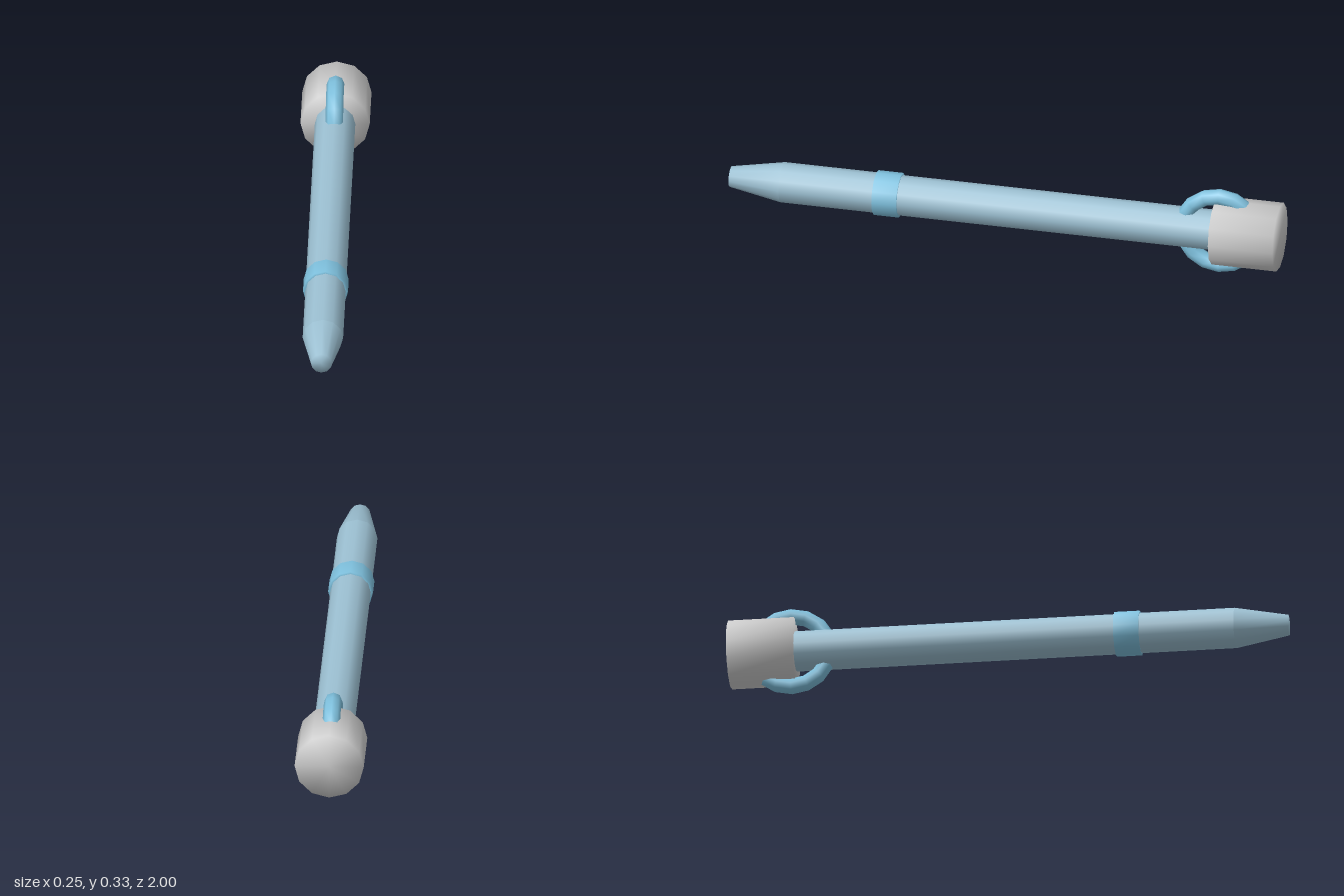
import * as THREE from 'three';

const AXIS_Y = 0.168;
const SIDES = 12;

const shaftBlue = new THREE.MeshStandardMaterial({ color: 0x9bbfd1 });
const trimBlue = new THREE.MeshStandardMaterial({ color: 0x7ec0dd });
const grey = new THREE.MeshStandardMaterial({ color: 0xcccccc });

// Turned part along z; profile is a list of [radius, z] from back to front
function turned(name, profile, material) {
  const points = profile.map(([r, z]) => new THREE.Vector2(r, z));
  const geometry = new THREE.LatheGeometry(points, SIDES);
  geometry.rotateX(Math.PI / 2);
  const mesh = new THREE.Mesh(geometry, material);
  mesh.name = name;
  mesh.position.y = AXIS_Y;
  return mesh;
}

export function createModel() {
  const group = new THREE.Group();
  group.name = 'staff';

  // Long shaft and its front section, met by the collar
  group.add(turned('shaft', [[0.072, -0.78], [0.072, 0.42]], shaftBlue));
  group.add(turned('frontSection', [[0.072, 0.42], [0.072, 0.81]], shaftBlue));

  // Tapered tip with a blunt, softly shaded end
  group.add(turned('tip', [[0.072, 0.81], [0.037, 1], [0, 1]], shaftBlue));

  // Raised collar
  group.add(turned('collar',
    [[0.07, 0.38], [0.08, 0.38], [0.08, 0.47], [0.07, 0.47]], trimBlue));

  // Heavy end knob with soft shading over its caps
  group.add(turned('knob',
    [[0, -1], [0.123, -1], [0.123, -0.765], [0, -0.765]], grey));

  // Upright ring running through the shaft and knob
  const ring = new THREE.Mesh(new THREE.TorusGeometry(0.136, 0.029, 8, 16), trimBlue);
  ring.name = 'ring';
  ring.rotation.y = Math.PI / 2;
  ring.scale.z = 1.08;
  ring.position.set(0, AXIS_Y, -0.78);
  group.add(ring);

  return group;
}
